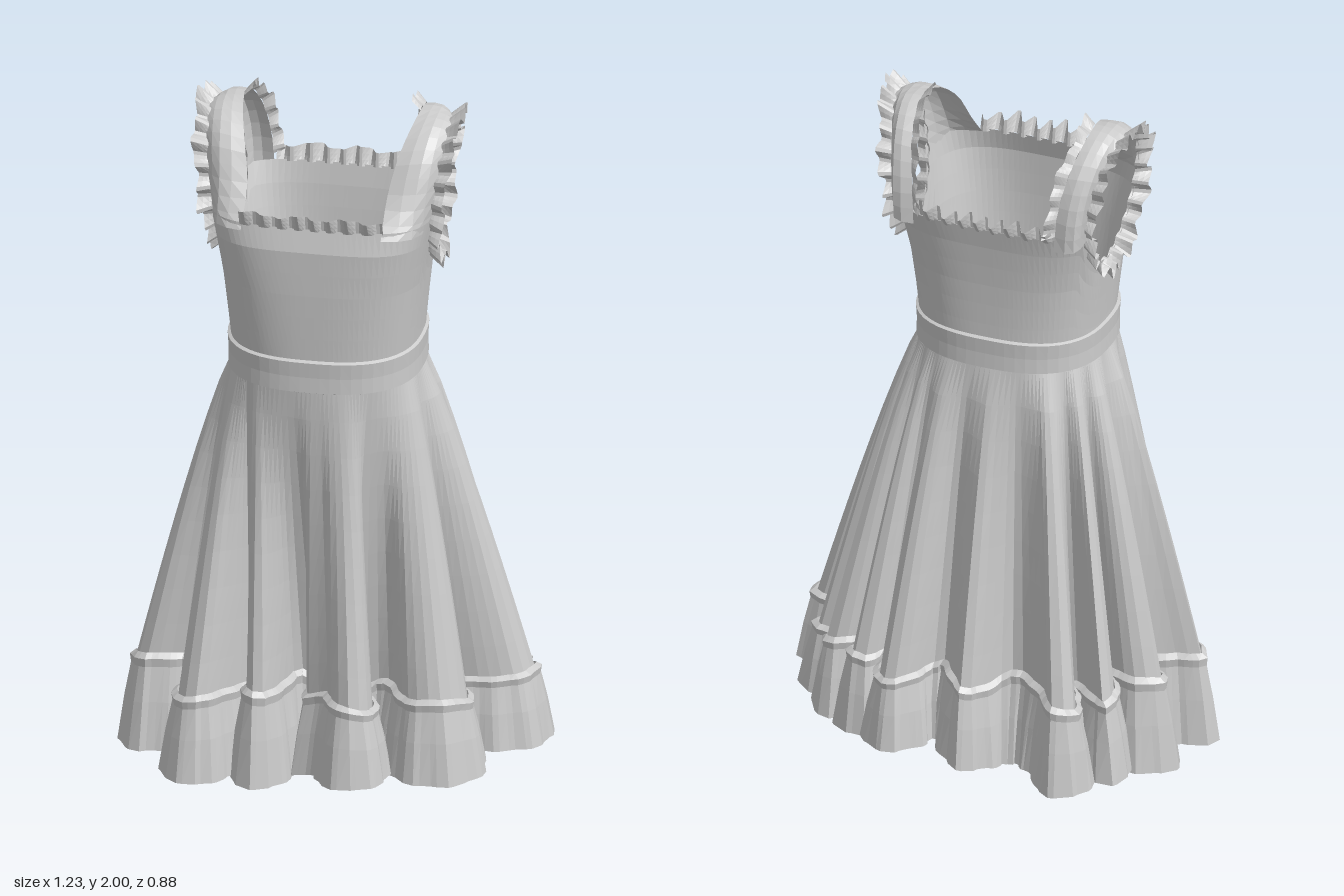
import * as THREE from 'three';

const V = (x, y, z) => new THREE.Vector3(x, y, z);
const { lerp, clamp } = THREE.MathUtils;
const material = new THREE.MeshStandardMaterial({ color: 0xcccccc, flatShading: true, side: THREE.DoubleSide });
const CX = -0.02; // centre line of the bodice

// Sheet of cloth sampled from fn(u, v), u and v in 0..1
function cloth(name, nu, nv, fn) {
  const pos = [], index = [];
  for (let j = 0; j <= nv; j++)
    for (let i = 0; i <= nu; i++) pos.push(...fn(i / nu, j / nv).toArray());
  for (let j = 0; j < nv; j++)
    for (let i = 0; i < nu; i++) {
      const a = j * (nu + 1) + i, b = a + nu + 1;
      index.push(a, a + 1, b, a + 1, b + 1, b);
    }
  const geo = new THREE.BufferGeometry();
  geo.setAttribute('position', new THREE.Float32BufferAttribute(pos, 3));
  geo.setIndex(index);
  geo.computeVertexNormals();
  const mesh = new THREE.Mesh(geo, material);
  mesh.name = name;
  return mesh;
}

// Body outline by height: y, half width, front z, back z, squareness
const BODY = [
  [1.18, 0.265, 0.295, -0.195, 2.5], [1.3, 0.266, 0.297, -0.195, 2.6], [1.4, 0.274, 0.302, -0.195, 2.8],
  [1.52, 0.285, 0.307, -0.2, 3.1], [1.64, 0.304, 0.308, -0.212, 3.6], [1.71, 0.318, 0.288, -0.225, 4],
];
function ring(angle, y, grow = 0) {
  let k = 0;
  while (k < BODY.length - 2 && y > BODY[k + 1][0]) k++;
  const A = BODY[k], B = BODY[k + 1], t = clamp((y - A[0]) / (B[0] - A[0]), 0, 1);
  const [, a, front, back, n] = A.map((v, i) => lerp(v, B[i], t));
  const s = Math.sin(angle), c = Math.cos(angle);
  const r = (Math.abs(s / (a + grow)) ** n + Math.abs(c / ((front - back) / 2 + grow)) ** n) ** (-1 / n);
  return V(CX + r * s, y, (front + back) / 2 + r * c);
}

// Armhole edge, angle 0 at the top and positive towards the front
const ARM = { z: -0.005, y: 1.745, rz: 0.15, ry: 0.2 };
function armhole(side, angle) {
  const y = ARM.y + ARM.ry * Math.cos(angle);
  const x = lerp(0.292, 0.345, (y - 1.545) / 0.4) - 0.03 * Math.max(0, -Math.sin(angle));
  return V(CX + side * x, y, ARM.z + ARM.rz * Math.sin(angle));
}

// Hem line of the skirt (x, z) from the front centre round by the left side
const HEM = [
  0.03, 0.29, 0.06, 0.36, 0.12, 0.39, 0.16, 0.34, 0.14, 0.24, 0.08, 0.18, 0.17, 0.16,
  0.26, 0.28, 0.35, 0.29, 0.41, 0.22, 0.38, 0.12, 0.32, 0.07,
  0.44, 0.07, 0.53, 0.04, 0.55, -0.04, 0.46, -0.06, 0.35, -0.04,
  0.43, -0.11, 0.5, -0.14, 0.48, -0.18, 0.32, -0.15,
  0.39, -0.21, 0.45, -0.24, 0.4, -0.26, 0.29, -0.2, 0.34, -0.31, 0.29, -0.32, 0.24, -0.25,
  0.24, -0.35, 0.2, -0.39, 0.15, -0.36, 0.09, -0.26, 0.02, -0.33, -0.02, -0.37, -0.06, -0.32, -0.13, -0.25,
  -0.25, -0.32, -0.29, -0.39, -0.35, -0.37, -0.32, -0.28, -0.28, -0.2, -0.36, -0.25, -0.41, -0.29, -0.42, -0.23,
  -0.33, -0.12, -0.45, -0.17, -0.52, -0.14, -0.5, -0.09, -0.36, -0.04, -0.48, 0.03, -0.57, 0.06, -0.53, 0.1,
  -0.4, 0.07, -0.33, 0.15, -0.39, 0.26, -0.39, 0.33, -0.33, 0.36, -0.27, 0.29, -0.2, 0.19,
  -0.2, 0.31, -0.16, 0.34, -0.12, 0.27, -0.08, 0.15, -0.03, 0.14, -0.04, 0.25,
];

function skirtParts() {
  const N = 180, knots = [];
  for (let i = 0; i < HEM.length; i += 2) knots.push(V(HEM[i], 0, HEM[i + 1]));
  const hem = new THREE.CatmullRomCurve3(knots, true).getSpacedPoints(N).slice(0, N);
  const at = (i) => hem[((i % N) + N) % N];
  // Each hem point hangs from the waist at the angle of its averaged neighbourhood
  const waistAngle = hem.map((_, i) => {
    const m = V(0, 0, 0);
    for (let k = -12; k <= 12; k++) m.add(at(i + k));
    return Math.atan2(m.x, m.z - 25 * 0.03);
  });
  const hemY = (p) => 0.275 + 0.015 * Math.sin(9 * Math.atan2(p.x, p.z));
  // The front falls straighter than the sides and back
  const skirt = cloth('skirt', N, 9, (u, v) => {
    const i = Math.round(u * N) % N, p = at(i), top = ring(waistAngle[i], 1.23);
    const front = Math.max(0, Math.cos(waistAngle[i]));
    return V(lerp(top.x, p.x, v ** 0.84), lerp(1.23, hemY(p), v), lerp(top.z, p.z, v ** (0.84 + 0.5 * front)));
  });
  // Gathered frill with fine pleats, flaring out from the hem
  const rows = [[0, 0.002], [0.05, 0.018], [0.14, 0.014], [0.5, 0.03], [1, 0.046]];
  const frill = cloth('hemFrill', N * 2, rows.length - 1, (u, v) => {
    const k = Math.round(u * N * 2) % (N * 2), i = Math.floor(k / 2);
    const p = at(i).clone().lerp(at(i + 1), (k % 2) / 2);
    const d = at(i + 3).clone().sub(at(i - 2)).normalize();
    const [f, out] = rows[Math.round(v * (rows.length - 1))];
    const w = out + 0.006 * Math.sin(k * 1.31) * (0.4 + 0.6 * f);
    const ang = Math.atan2(p.x, p.z);
    const low = 0.05 - 0.03 * Math.cos(ang + 1.6) + 0.012 * Math.sin(5 * ang);
    const flare = 1 + 0.015 * f;
    return V(p.x * flare - d.z * w, lerp(hemY(p) + 0.018, low, f), p.z * flare + d.x * w);
  });
  return [skirt, frill];
}

// Small pleated ruffle: path(u), direction it stands in, direction it waves in
function ruffle(name, pleats, amp, path, stand, wave) {
  return cloth(name, pleats * 6, 3, (u, v) => {
    const a = u * pleats * Math.PI * 2;
    return path(u)
      .addScaledVector(stand(u), v * (1 + 0.15 * Math.sin(a * 0.37)))
      .addScaledVector(wave(u), amp * Math.sin(a) * (0.35 + 0.65 * v));
  });
}

// Shoulder strap from front to back, with a ruffle down the back half of its neck edge
function strapParts(side) {
  const x = (v) => CX + side * v;
  const neck = new THREE.CatmullRomCurve3([
    V(x(0.2), 1.68, 0.29), V(x(0.2), 1.78, 0.2), V(x(0.22), 1.88, 0.14), V(x(0.245), 1.95, 0.05),
    V(x(0.255), 1.965, -0.05), V(x(0.24), 1.9, -0.15), V(x(0.22), 1.79, -0.2), V(x(0.21), 1.66, -0.215),
  ]);
  const strap = cloth('shoulderStrap', 20, 4, (u, v) => {
    const ang = lerp(1.95, -1.95, u), p = armhole(side, ang).lerp(neck.getPoint(u), v);
    const bulge = Math.sin(Math.PI * v) * lerp(0.008, 0.035, Math.abs(2 * u - 1));
    return p.add(V(side * bulge * 0.7, Math.max(0, Math.cos(ang)) * bulge, Math.sin(ang) * bulge));
  });
  const along = (u) => lerp(0.5, 0.95, u);
  const edge = ruffle('strapRuffle', 6, 0.014,
    (u) => neck.getPoint(along(u)),
    (u) => V(-side * 0.025, 0.025 * (1 - u), -0.03 * u),
    (u) => V(0, 1 - u, -u));
  return [strap, edge];
}

export function createModel() {
  const dress = new THREE.Group();
  dress.name = 'dress';
  dress.add(...skirtParts());

  // Waistband, slightly higher at the back
  const band = [[1.205, 0], [1.21, 0.01], [1.255, 0.008], [1.3, 0.01], [1.305, 0]];
  dress.add(cloth('waistband', 56, band.length - 1, (u, v) => {
    const [y, grow] = band[Math.round(v * (band.length - 1))];
    const p = ring(u * Math.PI * 2, y, grow);
    p.y += 0.012 - 0.045 * (p.z - 0.05);
    return p;
  }));

  // Bodice, its top edge dipping under the arms
  dress.add(cloth('bodice', 120, 7, (u, v) => {
    const ang = u * Math.PI * 2, q = ring(ang, 1.64);
    const k = (q.z - ARM.z) / ARM.rz, side = Math.abs(q.x - CX) > 0.23;
    let top = q.z > 0 ? 1.7 : 1.69;
    if (side && Math.abs(k) < 1) top = Math.min(top, ARM.y - ARM.ry * Math.sqrt(1 - k * k));
    return ring(ang, lerp(1.24, top, v));
  }));

  // Straps and armhole ruffles on both sides
  for (const side of [1, -1]) {
    dress.add(...strapParts(side));
    const turn = (u) => u * Math.PI * 2;
    dress.add(ruffle('armholeRuffle', 21, 0.019,
      (u) => armhole(side, turn(u)).add(V(-side * 0.008, 0, 0)),
      (u) => V(side * 0.042, 0.025 * Math.cos(turn(u)), 0.018 * Math.sin(turn(u))),
      (u) => V(0, Math.cos(turn(u)), Math.sin(turn(u)))));
  }

  // Neckline ruffles, front and back
  for (const [name, mid, y, dir] of [['frontNeckRuffle', 0, 1.695, 1], ['backNeckRuffle', Math.PI, 1.685, -1]])
    dress.add(ruffle(name, 8, 0.02,
      (u) => ring(mid + lerp(-0.7, 0.7, u), y),
      () => V(0, 0.045, dir * 0.018),
      () => V(0, 0.3, 1)));

  return dress;
}
